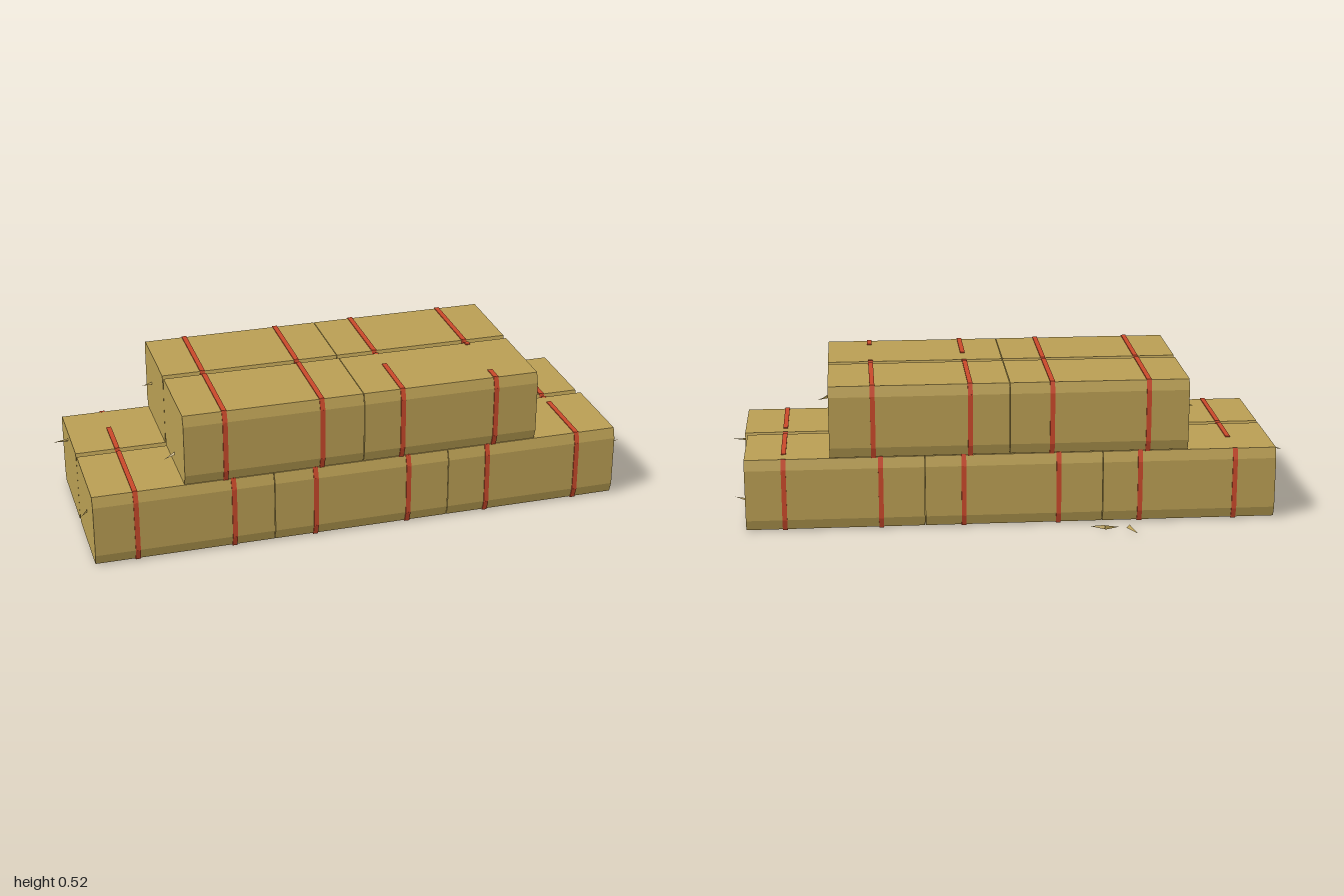
import * as THREE from 'three';

const hay = new THREE.MeshStandardMaterial({ color: 0xb99e53 });
hay.name = 'hay';
hay.flatShading = true;
const twine = new THREE.MeshStandardMaterial({ color: 0xc8482a });
twine.name = 'red twine';

const H = 0.257, D = 0.329, CY = 0.037, CZ = 0.012;

// Chamfered bale cross-section, centred in z and standing on y = 0
const section = [
  [-D / 2 + CZ, 0], [D / 2 - CZ, 0], [D / 2, CY], [D / 2, H - CY],
  [D / 2 - CZ, H], [-D / 2 + CZ, H], [-D / 2, H - CY], [-D / 2, CY],
];

function bale(x0, x1, y, z) {
  const shape = new THREE.Shape(section.map(([a, b]) => new THREE.Vector2(-a, b)).reverse());
  const geo = new THREE.ExtrudeGeometry(shape, { depth: x1 - x0, bevelEnabled: false });
  geo.rotateY(Math.PI / 2);
  const m = new THREE.Mesh(geo, hay);
  m.name = 'hayBale';
  m.position.set(x0, y, z);
  return m;
}

// Twine loop: a thin bar along each edge of the section; gap hides part of the top run
function strap(x, y, z, gap) {
  const g = new THREE.Group();
  g.name = 'twineLoop';
  const bar = (a, b) => {
    const dz = b[0] - a[0], dy = b[1] - a[1];
    const m = new THREE.Mesh(new THREE.BoxGeometry(0.017, 0.007, Math.hypot(dz, dy) + 0.003), twine);
    m.position.set(x, y + (a[1] + b[1]) / 2, z + (a[0] + b[0]) / 2);
    m.rotation.x = -Math.atan2(dy, dz);
    m.name = 'twineRun';
    g.add(m);
  };
  section.forEach((a, i) => {
    const b = section[(i + 1) % section.length];
    if (i === 4 && gap) {
      if (a[0] + z - gap[1] > 0.01) bar(a, [gap[1] - z, H]);
      if (gap[0] - b[0] - z > 0.01) bar([gap[0] - z, H], b);
    } else bar(a, b);
  });
  return g;
}

// Loose straw: a thin three-sided spike
function straw(from, to, r = 0.007) {
  const a = new THREE.Vector3(...from), b = new THREE.Vector3(...to);
  const dir = b.clone().sub(a);
  const m = new THREE.Mesh(new THREE.ConeGeometry(r, dir.length(), 3), hay);
  m.quaternion.setFromUnitVectors(new THREE.Vector3(0, 1, 0), dir.normalize());
  m.position.copy(a.add(b).multiplyScalar(0.5));
  m.name = 'straw';
  return m;
}

export function createModel() {
  const model = new THREE.Group();
  model.name = 'hayBaleStack';
  const zFront = 0.236, zBack = -0.095;

  // Two rows of bales per layer
  const layers = [
    { y: 0.003, ends: [-0.95, -0.32, 0.31, 0.94], straps: [-0.803, -0.463, -0.173, 0.163, 0.455, 0.794] },
    { y: 0.262, ends: [-0.632, 0, 0.632], straps: [-0.489, -0.149, 0.139, 0.479] },
  ];
  // Stretches of twine sunk into the hay, by layer, row and strap
  const gaps = {
    '0,1,0': [-0.26, -0.11], '0,1,5': [-0.25, -0.19], '0,0,5': [0.07, 0.13],
    '1,0,2': [0.08, 0.18], '1,0,3': [0.10, 0.33],
  };
  layers.forEach(({ y, ends, straps }, l) => {
    [zFront, zBack].forEach((z, r) => {
      const shift = l === 0 && r === 1 ? -0.01 : 0;
      for (let i = 0; i + 1 < ends.length; i++) {
        const last = i + 2 === ends.length;
        model.add(bale(ends[i] + (i ? shift + 0.001 : 0), ends[i + 1] + shift - (last ? 0 : 0.001), y, z));
      }
      straps.forEach((x, i) => model.add(strap(x, y, z, gaps[[l, r, i]])));
    });
  });

  // Straws sticking out of the bale ends
  [
    [[0.93, 0.163, 0.325], [0.997, 0.168, 0.315]],
    [[0.92, 0.058, -0.085], [0.975, 0.068, -0.07]],
    [[0.62, 0.465, -0.165], [0.67, 0.45, -0.17]],
    [[0.62, 0.335, 0.315], [0.655, 0.32, 0.33]],
    [[-0.94, 0.228, -0.12], [-1, 0.217, -0.135]],
    [[-0.94, 0.145, 0.25], [-0.972, 0.13, 0.275]],
    [[-0.62, 0.396, -0.155], [-0.67, 0.393, -0.145]],
    [[-0.62, 0.305, 0.228], [-0.672, 0.283, 0.232]],
  ].forEach(([a, b]) => model.add(straw(a, b)));

  // Straws lying on the ground behind
  model.add(straw([-0.414, 0.006, -0.335], [-0.436, 0.005, -0.4], 0.009));
  model.add(straw([-0.33, 0.006, -0.33], [-0.38, 0.005, -0.328], 0.009));
  model.add(straw([-0.33, 0.006, -0.33], [-0.28, 0.005, -0.313], 0.009));
  return model;
}
